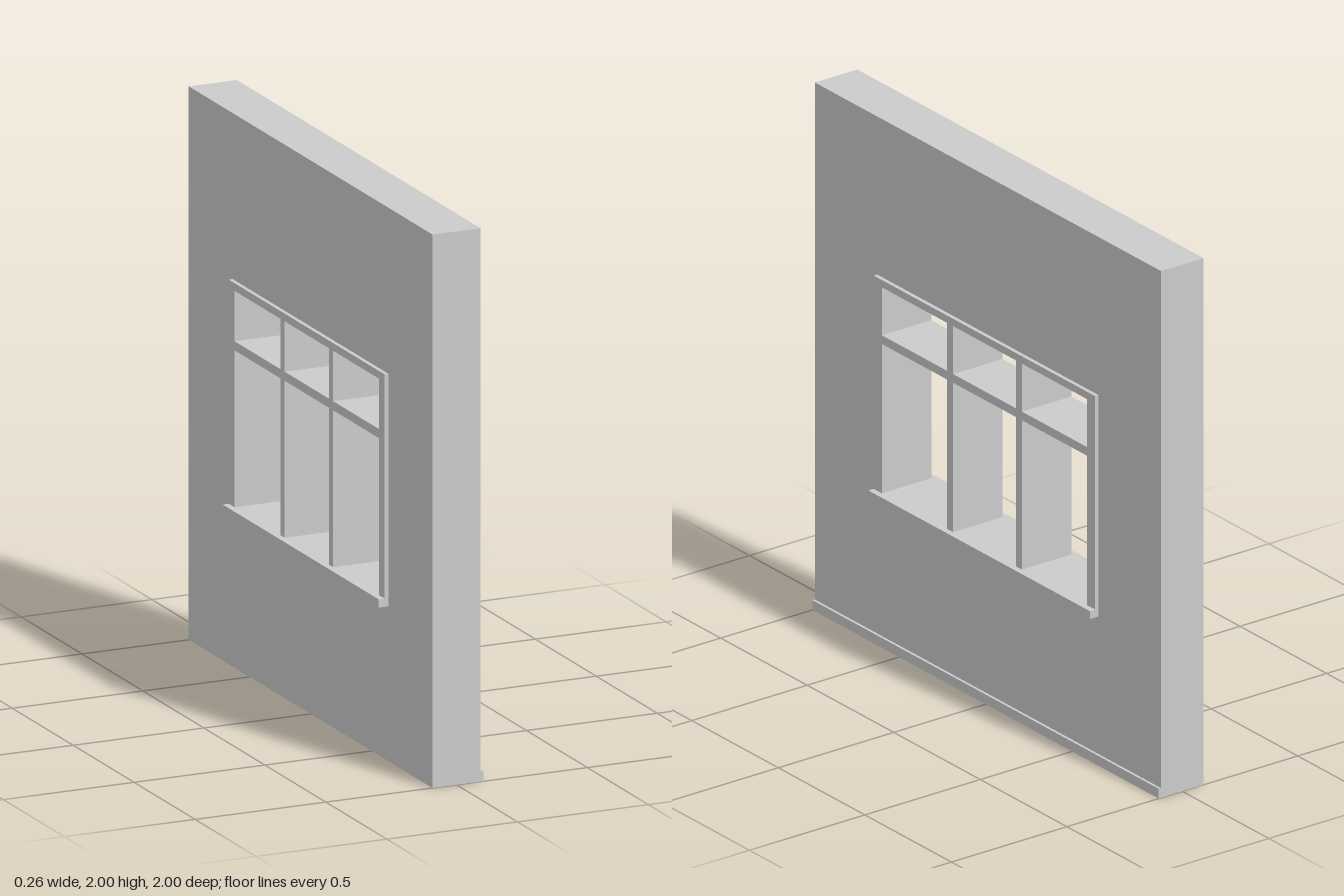
import * as THREE from 'three';

const material = new THREE.MeshStandardMaterial({ color: 0xcccccc });

// Traces a rectangle in the wall plane (horizontal z, vertical y)
function rect(path, z0, z1, y0, y1) {
  path.moveTo(z0, y0);
  path.lineTo(z1, y0);
  path.lineTo(z1, y1);
  path.lineTo(z0, y1);
  path.closePath();
  return path;
}

// Panel lying in the z-y plane, centred on x = 0, with rectangular openings
function panel(name, outline, openings, depth) {
  const shape = rect(new THREE.Shape(), ...outline);
  for (const o of openings) shape.holes.push(rect(new THREE.Path(), ...o));
  const geometry = new THREE.ExtrudeGeometry(shape, { depth, bevelEnabled: false });
  geometry.translate(0, 0, -depth / 2);
  geometry.rotateY(-Math.PI / 2);
  const mesh = new THREE.Mesh(geometry, material);
  mesh.name = name;
  return mesh;
}

function box(name, w, h, d, x, y, z) {
  const mesh = new THREE.Mesh(new THREE.BoxGeometry(w, h, d), material);
  mesh.name = name;
  mesh.position.set(x, y, z);
  return mesh;
}

export function createModel() {
  const group = new THREE.Group();
  group.name = 'windowWall';

  const wallDepth = 0.184, frameDepth = 0.214, sillDepth = 0.26;
  const windowOutline = [-0.64, 0.64, 0.56, 1.4];

  // Wall with the window opening
  group.add(panel('wall', [-1, 1, 0, 2], [windowOutline], wallDepth));

  // Window frame: three columns, each with a tall lower and a short upper light
  const lights = [];
  for (const [z0, z1] of [[-0.592, -0.217], [-0.181, 0.181], [0.217, 0.592]]) {
    for (const [y0, y1] of [[0.59, 1.157], [1.19, 1.372]]) lights.push([z0, z1, y0, y1]);
  }
  group.add(panel('windowFrame', windowOutline, lights, frameDepth));

  // Sill ledges projecting on both faces
  const ledge = (sillDepth - frameDepth) / 2;
  for (const [name, side] of [['leftSill', 1], ['rightSill', -1]]) {
    group.add(box(name, ledge, 0.03, 1.28, side * (frameDepth + ledge) / 2, 0.575, 0));
  }

  // Skirting strip along the foot of one face
  group.add(box('skirting', 0.01, 0.037, 2, wallDepth / 2 + 0.005, 0.0185, 0));

  return group;
}
